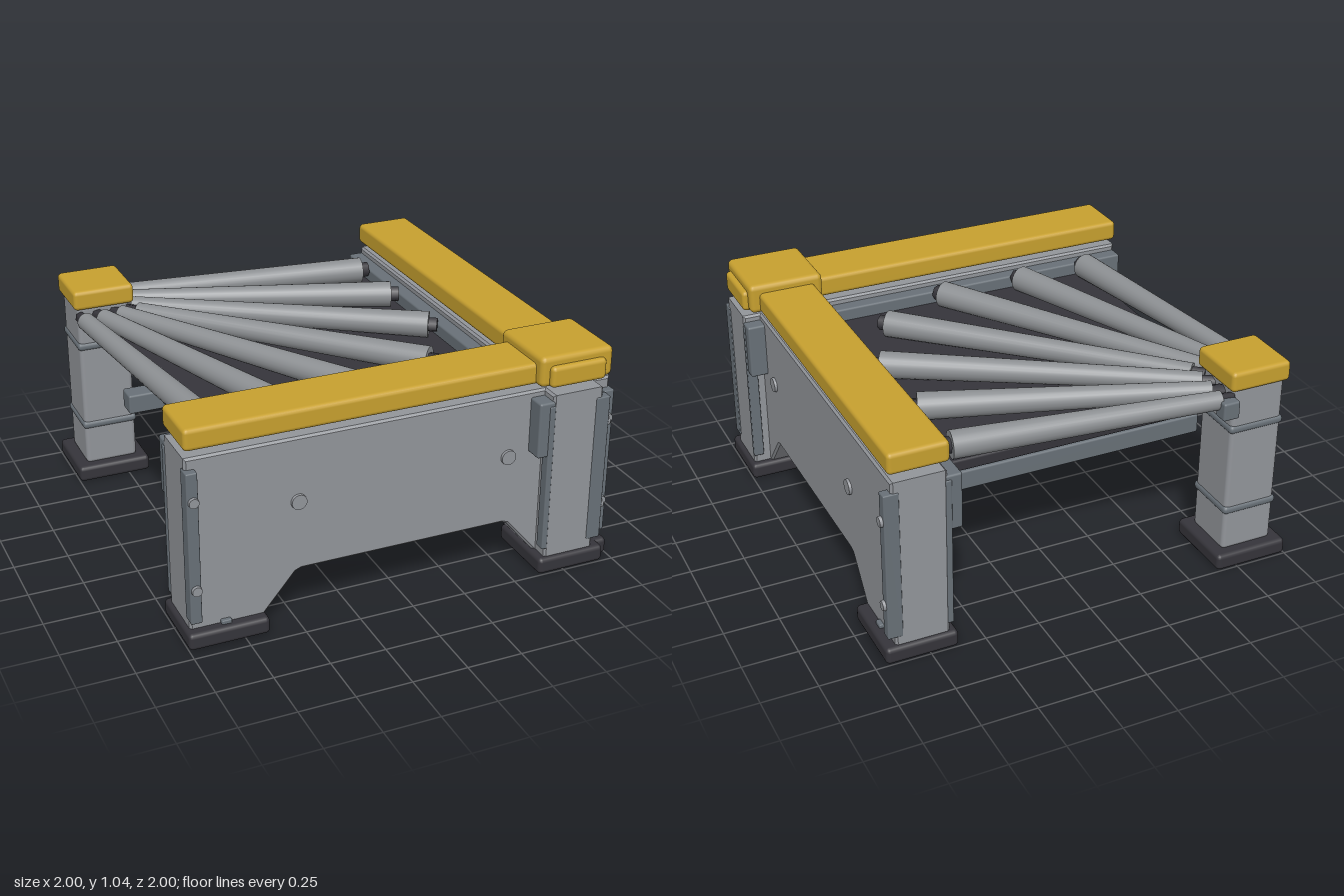
import * as THREE from 'three';
import { RoundedBoxGeometry } from 'three/addons/geometries/RoundedBoxGeometry.js';

const paint = (name, color) => {
  const m = new THREE.MeshStandardMaterial({ color });
  m.name = name;
  return m;
};

export function createModel() {
  const yellow = paint('yellow', 0xc7a02f);
  const panelGrey = paint('panel grey', 0x92959a);
  const trimGrey = paint('trim grey', 0x687077);
  const rollerGrey = paint('roller grey', 0x8c8f92);
  const dark = paint('dark rubber', 0x35343a);

  const model = new THREE.Group();
  model.name = 'cornerConveyor';

  const add = (parent, name, geometry, material) => {
    const mesh = new THREE.Mesh(geometry, material);
    mesh.name = name;
    parent.add(mesh);
    return mesh;
  };
  // Rounded block given by its extents on each axis
  const block = (parent, name, material, [x0, x1], [y0, y1], [z0, z1], r = 0.01) => {
    const g = new RoundedBoxGeometry(x1 - x0, y1 - y0, z1 - z0, 2, r);
    g.translate((x0 + x1) / 2, (y0 + y1) / 2, (z0 + z1) / 2);
    return add(parent, name, g, material);
  };
  // Tapered bar between two points, ra at a and rb at b
  const bar = (parent, name, material, a, b, ra, rb, sides = 24) => {
    const d = b.clone().sub(a);
    const m = add(parent, name, new THREE.CylinderGeometry(rb, ra, d.length(), sides), material);
    m.position.copy(a).add(b).multiplyScalar(0.5);
    m.quaternion.setFromUnitVectors(new THREE.Vector3(0, 1, 0), d.normalize());
    return m;
  };
  const v = (x, y, z) => new THREE.Vector3(x, y, z);

  // One side wall, running along x at the front
  function wall(name) {
    const g = new THREE.Group();
    g.name = name;

    // Arched panel with bevelled edges
    const outline = [[-0.97, 0.07], [-0.66, 0.07], [-0.51, 0.248], [-0.48, 0.26], [0.48, 0.26],
      [0.51, 0.248], [0.66, 0.07], [0.97, 0.07], [0.97, 0.86], [-0.97, 0.86]]
      .map(([x, y]) => new THREE.Vector2(x, y));
    const panel = new THREE.ExtrudeGeometry(new THREE.Shape(outline),
      { depth: 0.225, bevelSize: 0.01, bevelThickness: 0.01, bevelSegments: 1 });
    panel.translate(0, 0, 0.665);
    add(g, 'wallPanel', panel, panelGrey);

    block(g, 'innerFlange', trimGrey, [-0.98, 0.98], [0.58, 0.84], [0.59, 0.667]);
    block(g, 'topRail', yellow, [-0.98, 0.98], [0.902, 1.0], [0.64, 0.91], 0.02);

    for (const s of [-1, 1]) {
      const span = (a, b) => (s > 0 ? [a, b] : [-b, -a]);
      block(g, 'foot', dark, span(0.64, 1.0), [0, 0.078], [0.622, 0.95], 0.02);
      block(g, 'footTab', trimGrey, span(0.8, 0.845), [0.07, 0.095], [0.88, 0.92], 0.005);
      block(g, 'outerTrim', trimGrey, span(0.935, 0.985), [0.12, 0.82], [0.867, 0.935], 0.006);
      block(g, 'innerTrim', trimGrey, span(0.935, 0.985), [0.12, 0.82], [0.638, 0.665], 0.006);
      for (const y of [0.28, 0.69])
        bar(g, 'trimBolt', panelGrey, v(s * 0.957, y, 0.92), v(s * 0.957, y, 0.948), 0.026, 0.022, 10);
      bar(g, 'panelBolt', panelGrey, v(s * 0.49, 0.575, 0.88), v(s * 0.49, 0.575, 0.912), 0.037, 0.034);
    }
    model.add(g);
    return g;
  }
  wall('frontWall');
  const side = wall('sideWall'); // swaps x and z
  side.scale.x = -1;
  side.rotation.y = Math.PI / 2;

  block(model, 'cornerCap', yellow, [0.6, 0.955], [0.9, 1.04], [0.6, 0.955], 0.025);

  // Pivot post in the back corner
  const post = new THREE.Group();
  post.name = 'pivotPost';
  model.add(post);
  const postAt = (a, b, name, material, y, r) => block(post, name, material, [a, b], y, [a, b], r);
  postAt(-1, -0.645, 'postFoot', dark, [0, 0.078], 0.02);
  postAt(-0.948, -0.695, 'postColumn', panelGrey, [0.07, 0.9], 0.02);
  for (const y of [0.28, 0.695])
    postAt(-0.956, -0.687, 'postBand', trimGrey, [y - 0.02, y + 0.02], 0.018);
  postAt(-0.966, -0.673, 'postCap', yellow, [0.89, 0.985], 0.02);
  block(post, 'postBracket', trimGrey, [-0.7, -0.62], [0.78, 0.865], [-0.995, -0.925]);

  // Deck and the two beams below it
  block(model, 'deck', dark, [-0.8, 0.65], [0.725, 0.78], [-0.8, 0.65]);
  for (const z of [-0.47, 0.47])
    block(model, 'deckBeam', trimGrey, [-0.8, 0.66], [0.435, 0.53], [z - 0.05, z + 0.05]);

  // Tapered rollers fanned around the post: start and end as [x, z]
  const fan = [[[-0.64, -0.925], [0.548, -0.758]], [[-0.65, -0.835], [0.548, -0.405]],
    [[-0.66, -0.745], [0.55, 0.01]]];
  const flip = ([a, b]) => [[a[1], a[0]], [b[1], b[0]]];
  const rollers = [...fan, [[-0.66, -0.66], [0.37, 0.37]], ...fan.map(flip)];
  for (const [[ax, az], [bx, bz]] of rollers) {
    const a = v(ax, 0.85, az), b = v(bx, 0.838, bz);
    const dir = b.clone().sub(a).normalize();
    const along = (p, t) => p.clone().addScaledVector(dir, t);
    bar(model, 'roller', rollerGrey, a, b, 0.042, 0.062);
    bar(model, 'rollerOuterPin', dark, b, along(b, 0.04), 0.036, 0.036, 6);
    bar(model, 'rollerInnerPin', dark, along(a, -0.06), a, 0.028, 0.028, 6);
  }
  return model;
}
